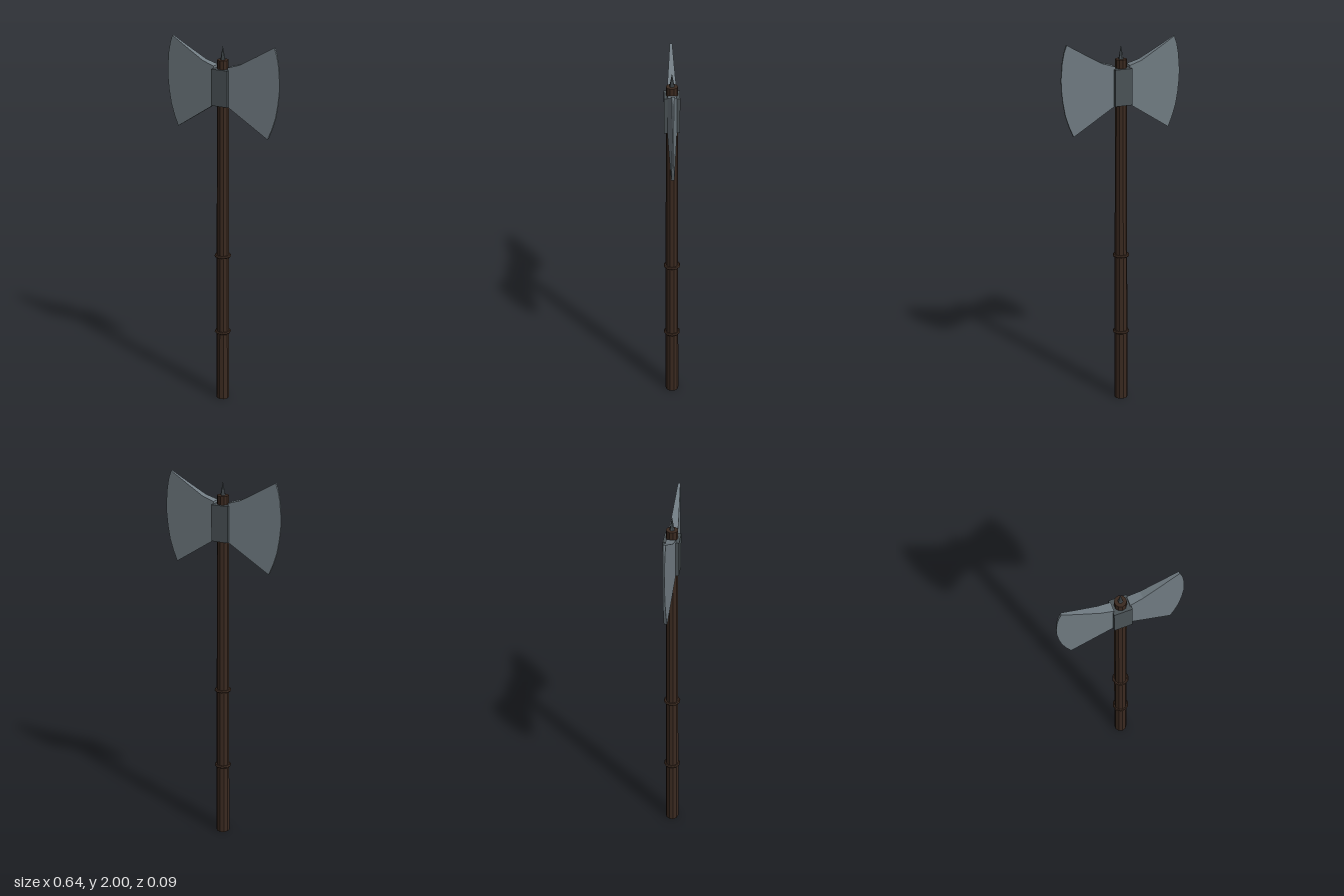
import * as THREE from 'three';

const material = (color) => new THREE.MeshStandardMaterial({ color, flatShading: true });

export function createModel() {
  const group = new THREE.Group();
  const wood = material(0x3b2a20);
  const steel = material(0x717c83);
  const darkSteel = material(0x4b5357);

  const add = (name, geometry, mat, y = 0) => {
    const mesh = new THREE.Mesh(geometry, mat);
    mesh.name = name;
    mesh.position.y = y;
    group.add(mesh);
    return mesh;
  };

  // Shaft, slightly tapered towards the top
  add('shaft', new THREE.CylinderGeometry(0.03, 0.036, 1.905, 10), wood, 0.9525);

  // Grip rings
  for (const y of [0.4, 0.843]) {
    const ring = new THREE.TorusGeometry(0.037, 0.008, 6, 10).rotateX(Math.PI / 2);
    add('gripRing', ring, wood, y);
  }

  // Head collar and top spike
  add('collar', new THREE.BoxGeometry(0.092, 0.19, 0.08), darkSteel, 1.765);
  add('spike', new THREE.ConeGeometry(0.013, 0.075, 6), darkSteel, 1.94);

  // Blade outline, extruded and then thinned towards the cutting edge
  const outline = [
    [0.04, 1.67], [0.26, 1.525], [0.283, 1.58], [0.302, 1.64], [0.314, 1.71],
    [0.321, 1.78], [0.321, 1.83], [0.314, 1.91], [0.304, 1.96], [0.29, 2],
    [0.2, 1.947], [0.105, 1.893], [0.04, 1.873],
  ].map(([x, y]) => new THREE.Vector2(x, y));
  const blade = new THREE.ExtrudeGeometry(new THREE.Shape(outline), { depth: 2, bevelEnabled: false });
  blade.translate(0, 0, -1);
  const pos = blade.attributes.position;
  for (let i = 0; i < pos.count; i++) {
    const t = (pos.getX(i) - 0.04) / 0.28;
    pos.setZ(i, pos.getZ(i) * THREE.MathUtils.lerp(0.024, 0.004, t));
  }
  blade.computeVertexNormals();
  add('leftBlade', blade, steel);
  add('rightBlade', blade, steel).rotation.y = Math.PI;

  return group;
}
